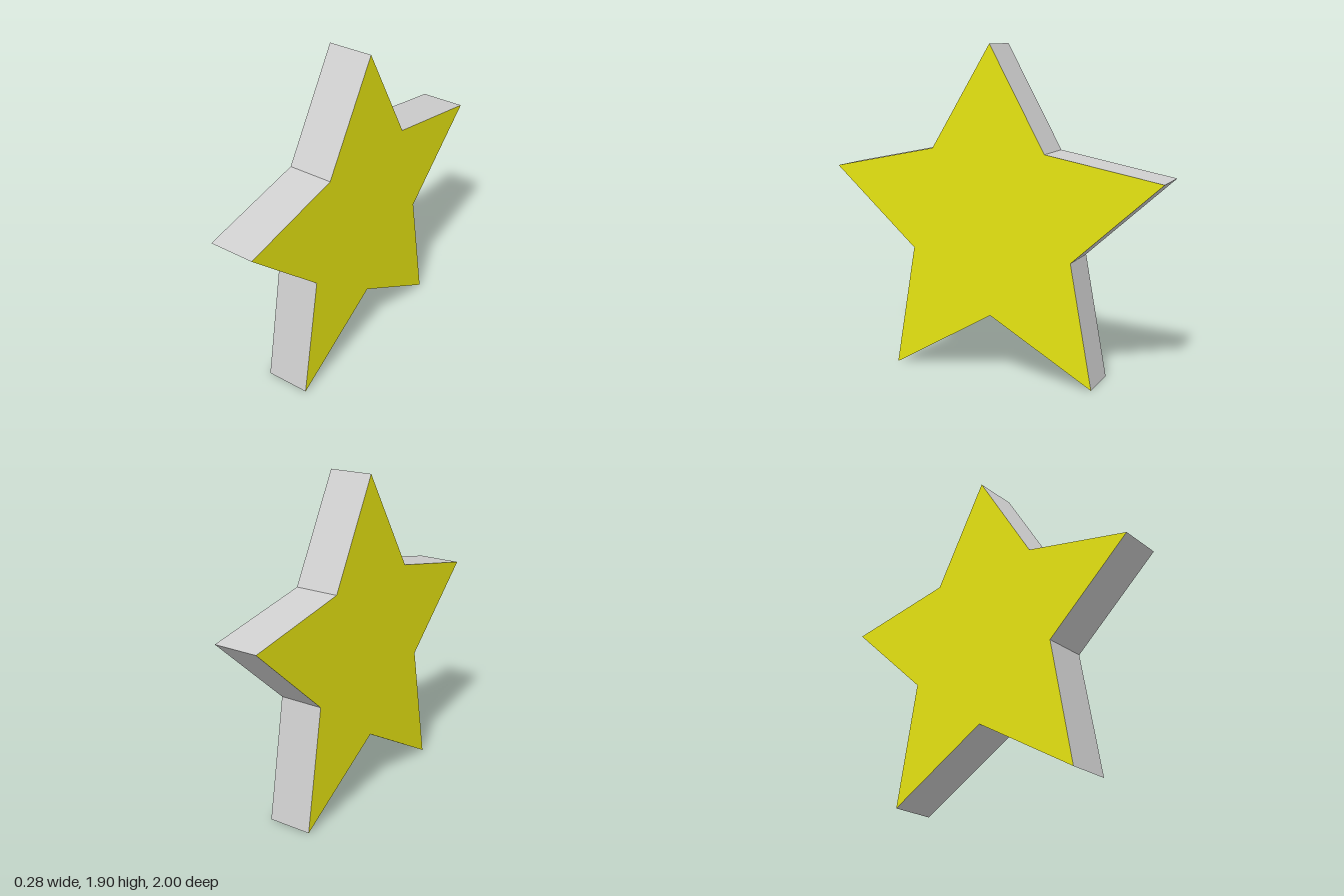
import * as THREE from 'three';

const yellow = new THREE.MeshStandardMaterial({ color: 0xe6e412 });
yellow.name = 'yellow';
const paleGrey = new THREE.MeshStandardMaterial({ color: 0xcfcfcf });
paleGrey.name = 'pale grey';

// Star outline as [z, y], tips and notches alternating
const outline = [
  [0, 1.9], [0.36, 1.31], [1, 1.177], [0.49, 0.717], [0.615, 0],
  [0, 0.36], [-0.615, 0], [-0.485, 0.712], [-1, 1.18], [-0.328, 1.305],
];
const thickness = 0.264;

export function createModel() {
  const model = new THREE.Group();
  model.name = 'star';

  // Thick star drawn in the xy plane, then turned to face sideways
  const shape = new THREE.Shape(outline.map(([z, y]) => new THREE.Vector2(-z, y)));
  const geometry = new THREE.ExtrudeGeometry(shape, { depth: thickness, bevelEnabled: false });
  geometry.translate(0, 0, -thickness / 2);
  geometry.rotateY(Math.PI / 2);

  // Very slight lean of the whole plate
  const p = geometry.attributes.position;
  for (let i = 0; i < p.count; i++) {
    p.setX(i, p.getX(i) - 0.004 * p.getZ(i) + 0.004 * (p.getY(i) - 0.95) - 0.002);
  }
  geometry.computeVertexNormals();

  // Yellow faces, grey rim
  const star = new THREE.Mesh(geometry, [yellow, paleGrey]);
  star.name = 'starBody';
  model.add(star);
  return model;
}
